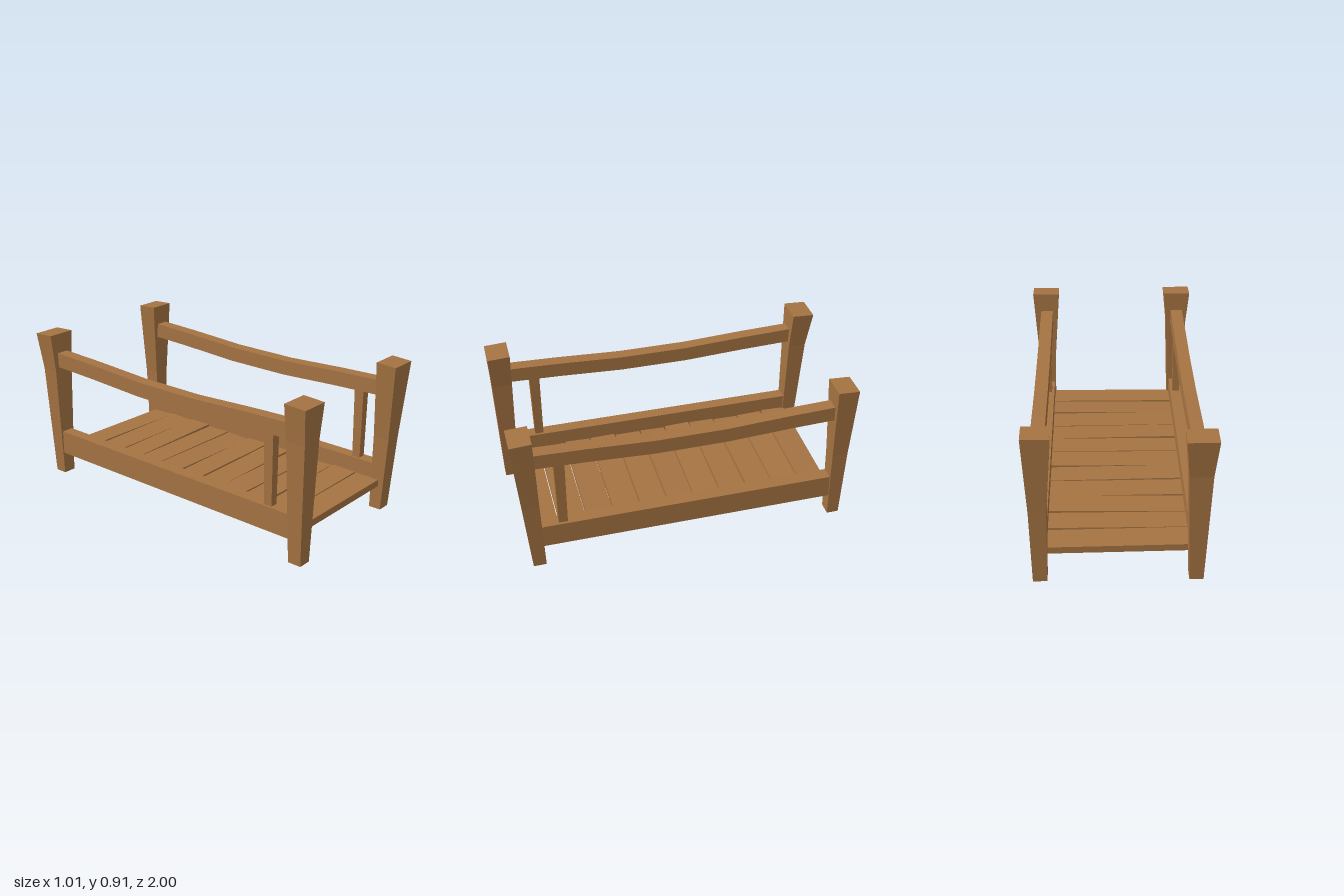
import * as THREE from 'three';

const wood = new THREE.MeshStandardMaterial({ color: 0xa57342, flatShading: true });

// Solid through a row of four-cornered sections, capped at both ends.
// Corners run counter-clockwise as seen from the end of the row.
function loft(sections) {
  const pos = sections.flat(2);
  const index = [];
  const n = sections.length;
  for (let s = 0; s < n - 1; s++) {
    for (let i = 0; i < 4; i++) {
      const a = s * 4 + i, b = s * 4 + (i + 1) % 4;
      index.push(a, b, b + 4, a, b + 4, a + 4);
    }
  }
  const t = (n - 1) * 4;
  index.push(0, 2, 1, 0, 3, 2, t, t + 1, t + 2, t, t + 2, t + 3);
  const g = new THREE.BufferGeometry();
  g.setAttribute('position', new THREE.Float32BufferAttribute(pos, 3));
  g.setIndex(index);
  const flat = g.toNonIndexed();
  flat.computeVertexNormals();
  return flat;
}

function add(group, name, geometry) {
  const mesh = new THREE.Mesh(geometry, wood);
  mesh.name = name;
  group.add(mesh);
  return mesh;
}

// Upright from levels [y, x0, x1, z0, z1]; the top dips towards its outer end
function post(levels) {
  return loft(levels.map(([y, x0, x1, z0, z1], i) => {
    const dip = i === levels.length - 1 ? 0.007 : 0;
    const yf = z1 > 0 ? y - dip : y, yb = z1 > 0 ? y : y - dip;
    return [[x0, yf, z1], [x1, yf, z1], [x1, yb, z0], [x0, yb, z0]];
  }));
}

export function createModel() {
  const model = new THREE.Group();
  model.name = 'footbridge';

  // Corner posts, flaring towards the top
  const posts = {
    frontRightPost: [
      [0.003, -0.462, -0.385, 0.885, 0.965],
      [0.70, -0.485, -0.360, 0.868, 0.985],
      [0.906, -0.505, -0.340, 0.865, 0.995]],
    frontLeftPost: [
      [0.003, 0.380, 0.460, 0.848, 0.922],
      [0.45, 0.370, 0.472, 0.858, 0.955],
      [0.906, 0.338, 0.503, 0.868, 0.990]],
    backRightPost: [
      [0.005, -0.462, -0.385, -0.935, -0.862],
      [0.68, -0.485, -0.360, -0.970, -0.865],
      [0.906, -0.505, -0.340, -1.0, -0.872]],
    backLeftPost: [
      [0, 0.380, 0.458, -0.930, -0.860],
      [0.45, 0.372, 0.468, -0.940, -0.848],
      [0.908, 0.340, 0.492, -0.955, -0.832]],
  };
  for (const [name, levels] of Object.entries(posts)) add(model, name, post(levels));

  // Side beams, sagging handrails and one baluster near the front of each side
  for (const [side, x0, x1] of [['right', -0.46, -0.387], ['left', 0.379, 0.455]]) {
    const x = (x0 + x1) / 2;
    const beam = add(model, side + 'Beam', new THREE.BoxGeometry(x1 - x0, 0.142, 1.75));
    beam.position.set(x, 0.21, 0);

    const path = [[-0.88, 0.702], [-0.58, 0.692], [-0.2, 0.673], [0.2, 0.673], [0.58, 0.692], [0.88, 0.702]];
    add(model, side + 'Handrail', loft(path.map(([z, y]) => [
      [x0, y, z], [x1, y, z], [x1, y + 0.088, z], [x0, y + 0.088, z]])));

    const levels = [[0.26, 0.022, 0.025], [0.72, 0.025, 0.03]];
    add(model, side + 'Baluster', loft(levels.map(([y, w, d]) => [
      [x - w, y, 0.73 + d], [x + w, y, 0.73 + d], [x + w, y, 0.73 - d], [x - w, y, 0.73 - d]])));
  }

  // Deck planks, each laid with a slight tilt
  const deck = new THREE.Group();
  deck.name = 'deck';
  for (let i = 0; i < 11; i++) {
    const plank = add(deck, 'plank' + (i + 1), new THREE.BoxGeometry(0.775, 0.041, 0.153));
    plank.position.set(-0.004, 0.167, 0.824 - i * 0.1618);
    plank.rotation.set(Math.sin(i * 2.3) * 0.035, 0, Math.sin(i * 1.7 + 0.3) * 0.014);
  }
  model.add(deck);
  return model;
}
